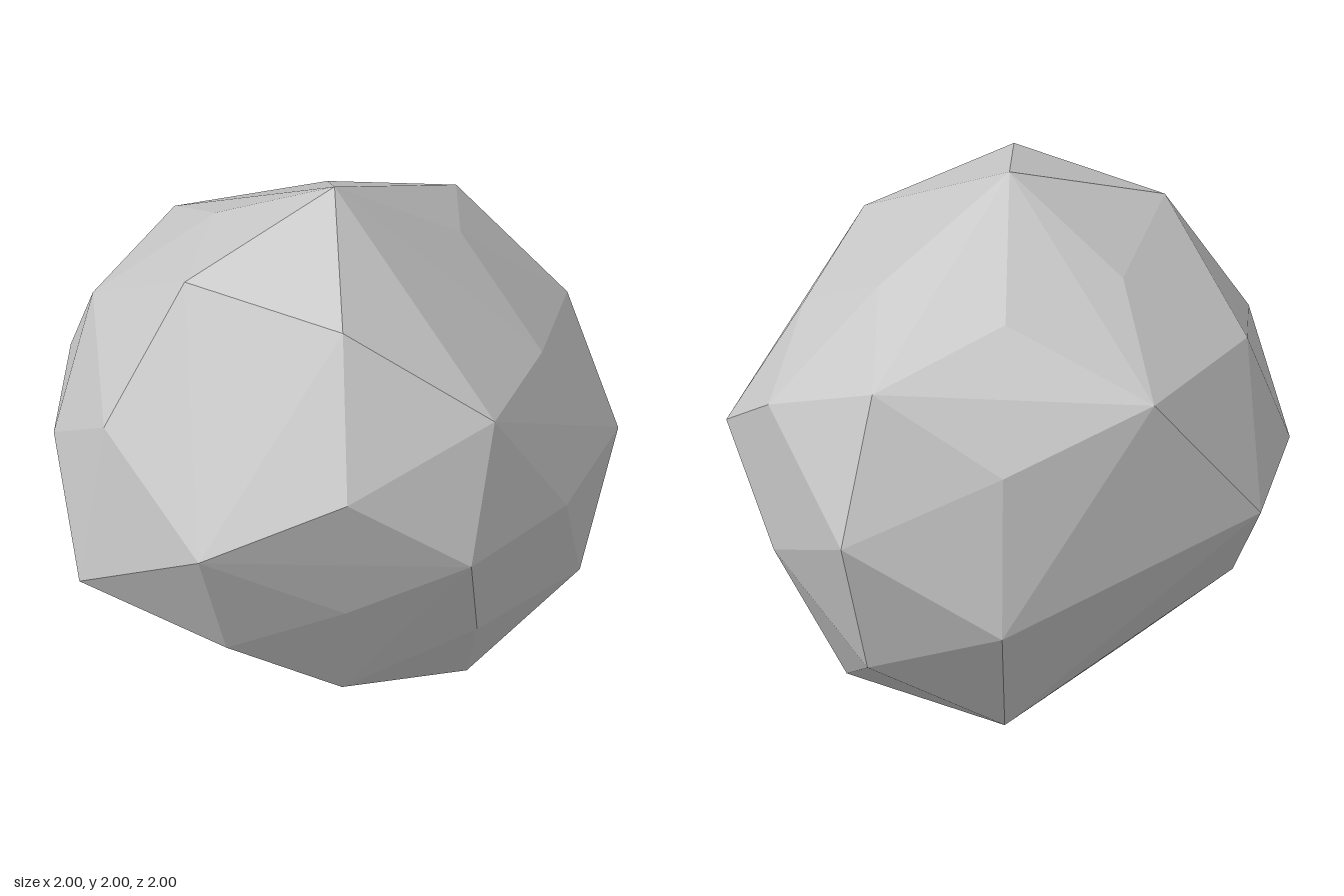
import * as THREE from 'three';
import { ConvexGeometry } from 'three/addons/geometries/ConvexGeometry.js';

// Faceted boulder: uneven radii along the directions of a once-divided icosahedron
const CENTRE = new THREE.Vector3(0.064, 0.97, 0.046);
const STRETCH = new THREE.Vector3(1.03, 1, 0.99);

// Each family: a base direction and the radius for each sign pattern (x y z)
const FAMILIES = [
  { dir: [1, 0, 0], radii: { '+++': 0.909, '-++': 1.033 } },
  { dir: [0, 1, 0], radii: { '+++': 1.03, '+-+': 0.97 } },
  { dir: [0, 0, 1], radii: { '+++': 0.964, '++-': 1.057 } },
  { dir: [0.526, 0.851, 0], radii: { '-++': 0.888, '+-+': 0.984, '--+': 0.86 } },
  { dir: [0, 0.526, 0.851], radii: { '+-+': 0.9, '++-': 1.012, '+--': 1.046 } },
  { dir: [0.851, 0, 0.526], radii: { '+++': 0.957, '-++': 0.963, '++-': 0.973 } },
  {
    dir: [0.309, 0.809, 0.5],
    radii: { '+++': 1.003, '-++': 1.003, '++-': 0.843, '-+-': 0.87, '+-+': 0.9, '+--': 1.05, '---': 1.045 },
  },
  {
    dir: [0.809, 0.5, 0.309],
    radii: { '+++': 0.984, '-++': 0.966, '++-': 0.83, '-+-': 0.982, '+-+': 0.875, '--+': 0.907, '+--': 0.98 },
  },
  {
    dir: [0.5, 0.309, 0.809],
    radii: {
      '+++': 0.95, '-++': 0.954, '+-+': 0.812, '--+': 1.055,
      '++-': 0.962, '-+-': 0.9, '+--': 0.94, '---': 1.005,
    },
  },
];

export function createModel() {
  const group = new THREE.Group();
  group.name = 'boulder';

  const points = [];
  for (const { dir, radii } of FAMILIES) {
    for (const [signs, radius] of Object.entries(radii)) {
      const p = new THREE.Vector3(...dir.map((v, i) => (signs[i] === '-' ? -v : v)));
      points.push(p.multiplyScalar(radius).multiply(STRETCH).add(CENTRE));
    }
  }

  const stone = new THREE.MeshStandardMaterial({ color: 0xc8c8c8 });
  stone.name = 'stone grey';

  // The hull gives flat facets with sharp edges
  const rock = new THREE.Mesh(new ConvexGeometry(points), stone);
  rock.name = 'rock';
  group.add(rock);
  return group;
}
